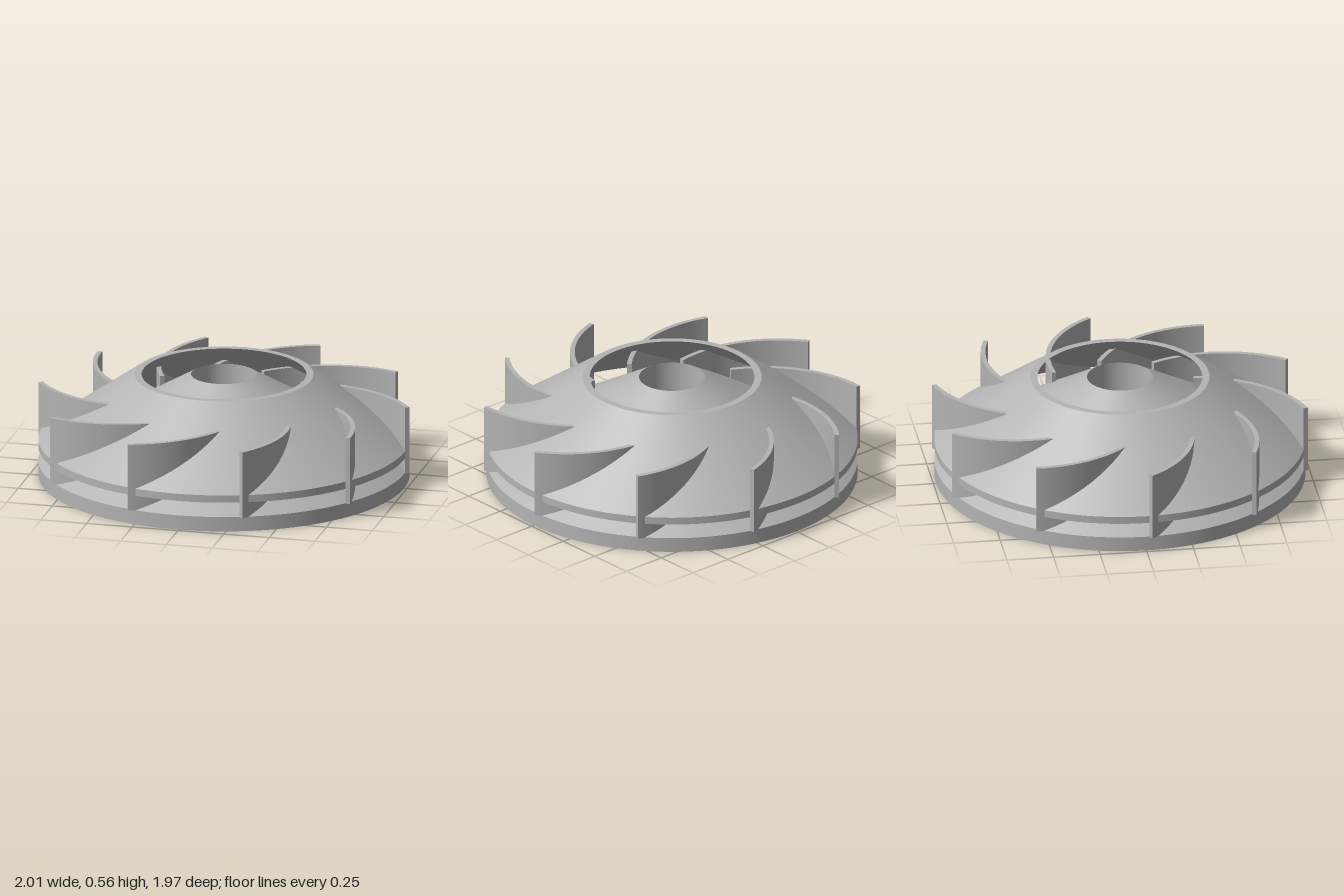
import * as THREE from 'three';
import { mergeGeometries } from 'three/addons/utils/BufferGeometryUtils.js';

// Closed ring solid: each profile edge is turned separately so the corners stay sharp.
function turned(profile) {
  return mergeGeometries(profile.map((p, i) => {
    const q = profile[(i + 1) % profile.length];
    return new THREE.LatheGeometry([new THREE.Vector2(...p), new THREE.Vector2(...q)], 128);
  }));
}

export function createModel() {
  const impeller = new THREE.Group();
  impeller.name = 'impeller';
  const metal = new THREE.MeshStandardMaterial({ color: 0xb4b4b4 });
  metal.name = 'grey metal';

  const add = (name, geometry) => {
    const mesh = new THREE.Mesh(geometry, metal);
    mesh.name = name;
    impeller.add(mesh);
    return mesh;
  };

  // Back plate with conical hub and central bore
  add('hubPlate', turned([[0.175, 0], [0.985, 0], [0.985, 0.08], [0.175, 0.56]]));

  // Conical front shroud with open eye
  add('shroud', turned([[0.985, 0.16], [0.985, 0.2], [0.475, 0.56], [0.437, 0.56]]));

  // Curved vane: an arc-shaped strip raised between plate and vane top
  const cx = 0.456, cz = 0.333, radius = 0.647, half = 0.0125;
  const start = THREE.MathUtils.degToRad(-100), end = THREE.MathUtils.degToRad(-33.4);
  const outline = new THREE.Shape();
  outline.absarc(cx, cz, radius + half, start, end, false);
  outline.absarc(cx, cz, radius - half, end, start, true);
  outline.closePath();
  const top = 0.445, bottom = 0.078;
  const vane = new THREE.ExtrudeGeometry(outline, {
    depth: top - bottom, bevelEnabled: false, curveSegments: 28,
  });
  vane.rotateX(Math.PI / 2).translate(0, top, 0);

  // Ten vanes around the axis
  for (let i = 0; i < 10; i++) {
    add('vane' + (i + 1), vane).rotation.y = (i * Math.PI) / 5;
  }
  return impeller;
}
